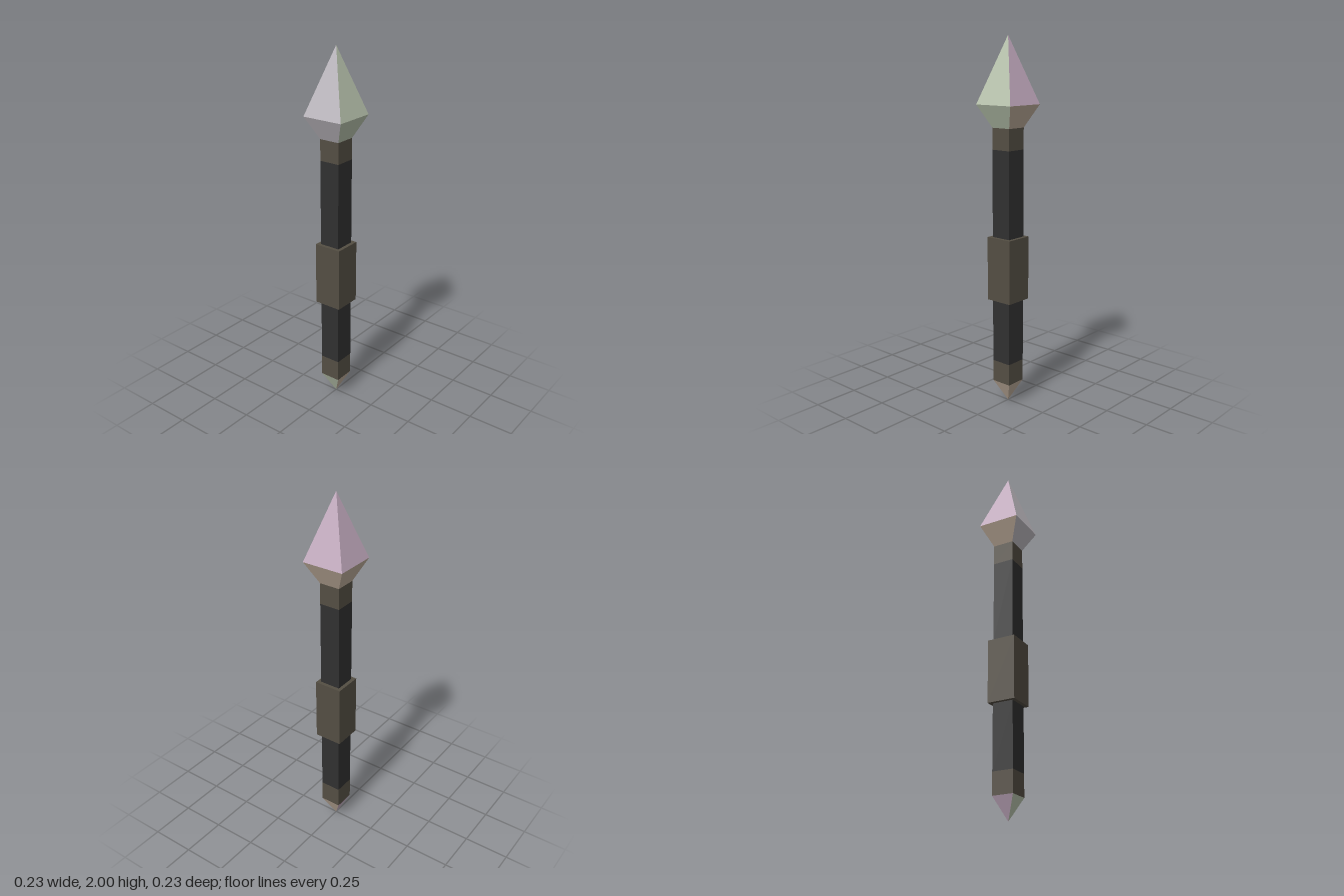
import * as THREE from 'three';

const mat = (name, color) => {
  const m = new THREE.MeshStandardMaterial({ color });
  m.name = name;
  return m;
};

export function createModel() {
  const group = new THREE.Group();
  const black = mat('black grip', 0x303030);
  const brown = mat('dark brown', 0x544e43);
  const grey = mat('pale grey', 0xbcb8be);
  const green = mat('pale green', 0xb9c4ae);
  const pink = mat('pale pink', 0xc4acc0);
  const tan = mat('pale tan', 0xbfad9b);

  const add = (name, geometry, material) => {
    const mesh = new THREE.Mesh(geometry, material);
    mesh.name = name;
    group.add(mesh);
  };

  // Square bar between two heights
  const bar = (name, half, y0, y1, material) => {
    const g = new THREE.BoxGeometry(half * 2, y1 - y0, half * 2);
    g.translate(0, (y0 + y1) / 2, 0);
    add(name, g, material);
  };

  // Four-sided taper; materials go to the front, left, back and right faces
  const taper = (name, y0, half0, y1, half1, materials) => {
    const src = new THREE.CylinderGeometry(half1 * Math.SQRT2, half0 * Math.SQRT2, y1 - y0, 4, 1, true);
    src.rotateY(-Math.PI / 4).translate(0, (y0 + y1) / 2, 0);
    const g = src.toNonIndexed();
    g.computeVertexNormals();
    g.clearGroups();
    const n = g.attributes.position.count / 4;
    materials.forEach((m, i) => g.addGroup(i * n, n, i));
    add(name, g, materials);
  };

  // Shaft, bottom to top
  const r = 0.058;
  bar('lowerCollar', r, 0.12, 0.24, brown);
  bar('lowerShaft', r, 0.24, 0.595, black);
  bar('middleGrip', 0.078, 0.595, 0.945, brown);
  bar('upperShaft', r, 0.945, 1.415, black);
  bar('upperCollar', r, 1.415, 1.53, brown);

  // Crystal head and bottom spike
  taper('headBase', 1.53, r, 1.65, 0.117, [grey, green, tan, tan]);
  taper('headPoint', 1.65, 0.117, 2, 0, [grey, green, pink, pink]);
  taper('bottomSpike', 0, 0, 0.12, r, [green, tan, tan, pink]);

  return group;
}
